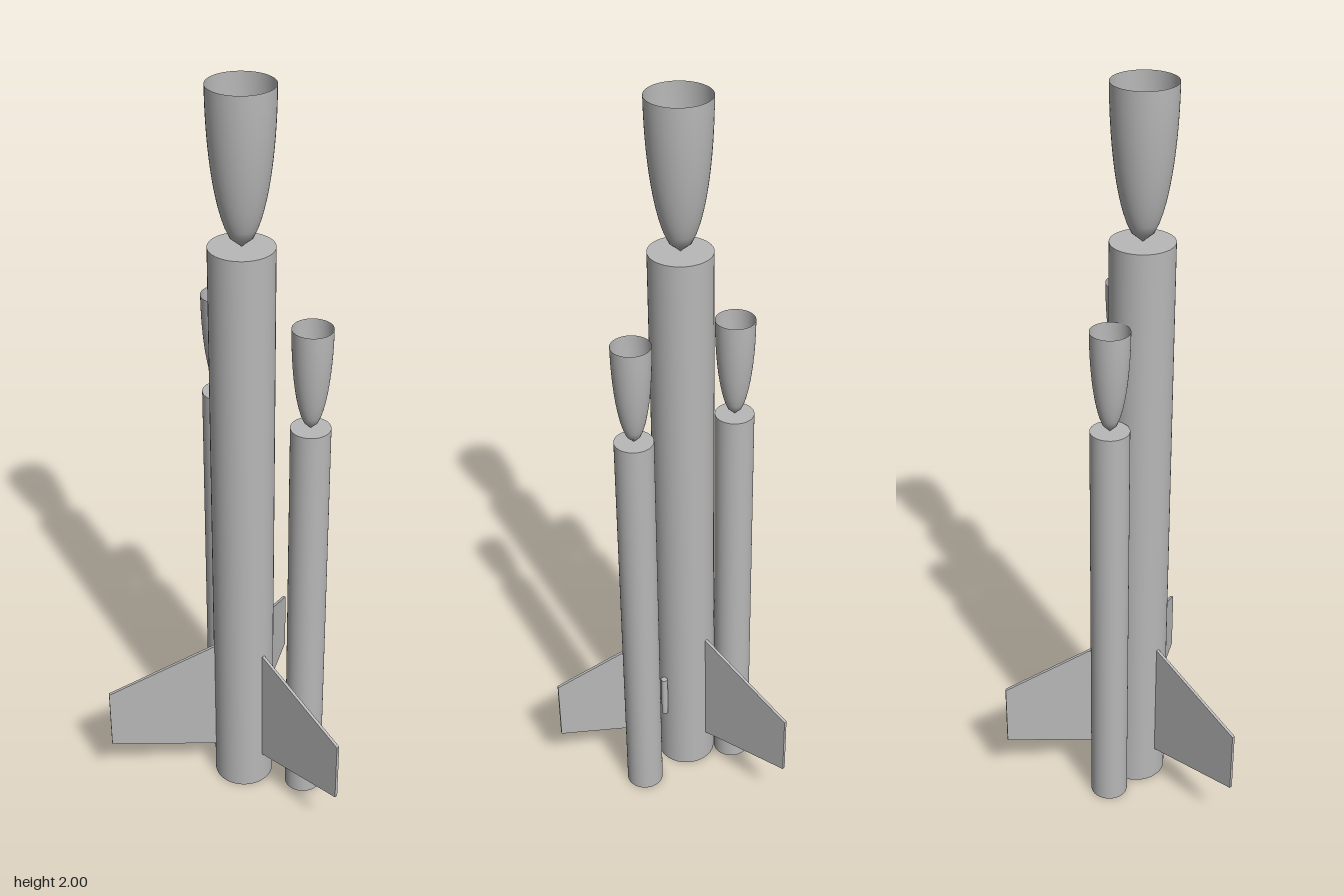
import * as THREE from 'three';

const AXIS_Z = 0.09; // depth of the main body's axis

export function createModel() {
  const grey = new THREE.MeshStandardMaterial({ color: 0xb8b8b8 });
  grey.name = 'grey';
  const greyShell = new THREE.MeshStandardMaterial({ color: 0xb8b8b8, side: THREE.DoubleSide });
  greyShell.name = 'grey shell';

  const rocket = new THREE.Group();
  rocket.name = 'rocket';

  const add = (parent, name, geometry, material = grey) => {
    const mesh = new THREE.Mesh(geometry, material);
    mesh.name = name;
    parent.add(mesh);
    return mesh;
  };

  // A closed tube topped by an open, upturned elliptical cone
  function stage(name, radius, height, coneHeight, x, z) {
    const group = new THREE.Group();
    group.name = name;
    group.position.set(x, 0, z);
    add(group, 'bodyTube', new THREE.CylinderGeometry(radius, radius, height, 48)).position.y = height / 2;

    const profile = [];
    const steps = 16;
    for (let i = 0; i <= steps; i++) {
      const t = i / steps;
      profile.push(new THREE.Vector2(radius * Math.sqrt(1 - (1 - t) ** 2), coneHeight * t));
    }
    add(group, 'openCone', new THREE.LatheGeometry(profile, 48), greyShell).position.y = height;
    rocket.add(group);
  }

  stage('mainStage', 0.08, 1.617, 0.383, 0, AXIS_Z);
  stage('leftBooster', 0.05, 1.165, 0.27, 0.174, AXIS_Z);
  stage('rearBooster', 0.05, 1.165, 0.27, -0.087, -0.008);

  // Three tapered fins spaced evenly around the main tube
  const outline = new THREE.Shape([
    new THREE.Vector2(0.078, 0.1),
    new THREE.Vector2(0.37, 0.153),
    new THREE.Vector2(0.37, 0.33),
    new THREE.Vector2(0.078, 0.452),
  ]);
  const finGeometry = new THREE.ExtrudeGeometry(outline, { depth: 0.008, bevelEnabled: false });
  finGeometry.translate(0, 0, -0.004);
  for (let i = 0; i < 3; i++) {
    const fin = add(rocket, 'fin', finGeometry);
    fin.position.z = AXIS_Z;
    fin.rotation.y = Math.PI / 2 + (i * Math.PI * 2) / 3;
  }

  // Small launch lug on the side of the main tube
  add(rocket, 'launchLug', new THREE.CylinderGeometry(0.009, 0.009, 0.125, 24))
    .position.set(0.087, 0.252, AXIS_Z);

  return rocket;
}
